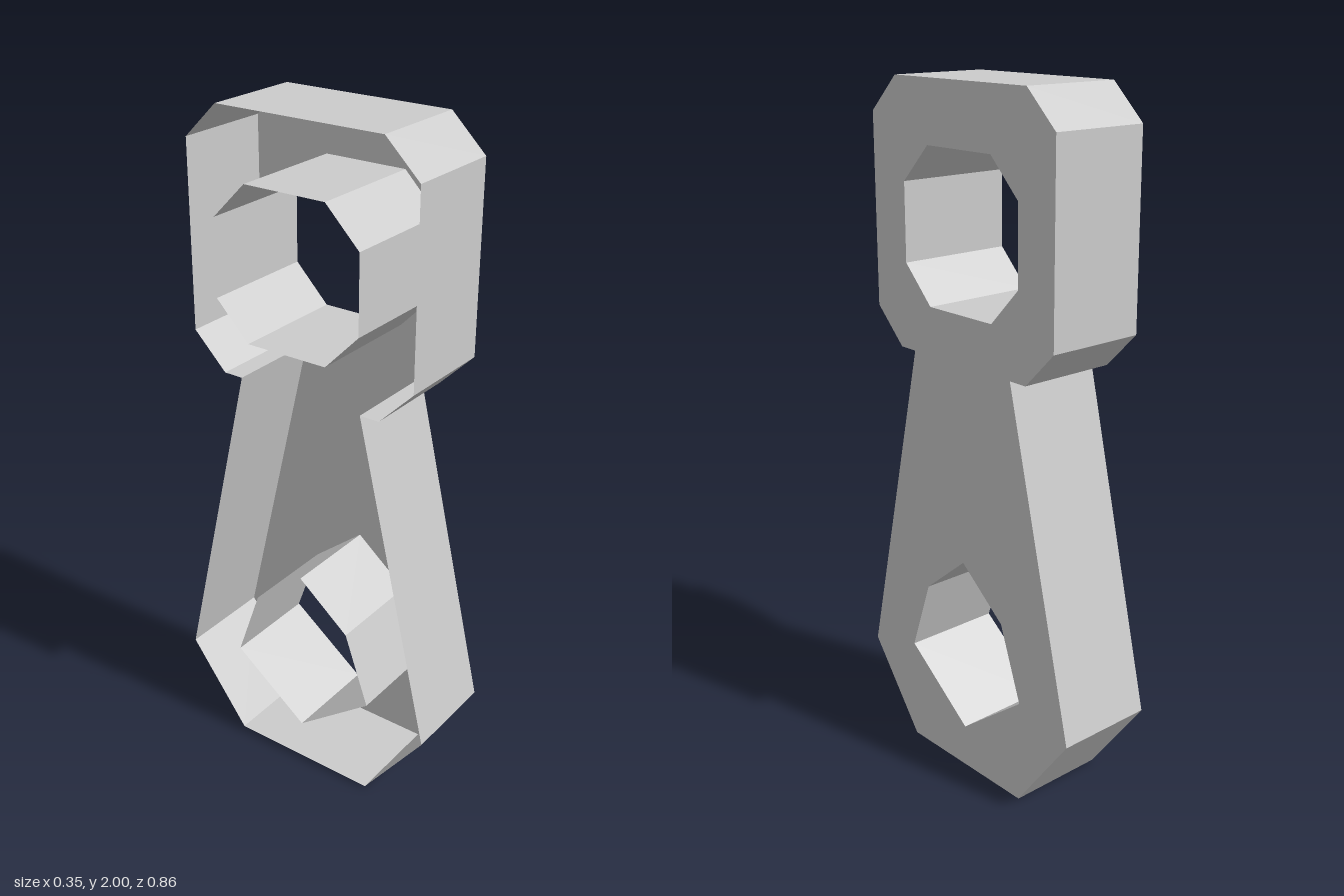
import * as THREE from 'three';

// Side faces between two x positions, following a closed outline
function wallBand(points, xOpen, xClosed) {
  const pos = [];
  points.forEach((a, i) => {
    const b = points[(i + 1) % points.length];
    pos.push(a.x, a.y, xOpen, b.x, b.y, xOpen, b.x, b.y, xClosed);
    pos.push(a.x, a.y, xOpen, b.x, b.y, xClosed, a.x, a.y, xClosed);
  });
  const geo = new THREE.BufferGeometry();
  geo.setAttribute('position', new THREE.Float32BufferAttribute(pos, 3));
  geo.computeVertexNormals();
  return geo;
}

// Mirrors the right half of an outline (listed bottom to top) into a closed loop
function mirrored(half) {
  const right = half.map(([x, y]) => new THREE.Vector2(x, y));
  const left = half.filter(([x]) => x > 0).reverse().map(([x, y]) => new THREE.Vector2(-x, y));
  return [...right, ...left];
}

export function createModel() {
  const group = new THREE.Group();
  group.name = 'hollowLink';
  const grey = new THREE.MeshStandardMaterial({ color: 0xcccccc, flatShading: true, side: THREE.DoubleSide });
  grey.name = 'light grey';

  const add = (name, geo) => {
    geo.rotateY(Math.PI / 2); // outline plane faces +x
    const mesh = new THREE.Mesh(geo, grey);
    mesh.name = name;
    group.add(mesh);
  };

  const outline = mirrored([
    [0.238, 0], [0.432, 0.26], [0.2, 1.252], [0.26, 1.252],
    [0.364, 1.356], [0.364, 1.9], [0.26, 2],
  ]);
  const upperHole = mirrored([[0.127, 1.391], [0.231, 1.498], [0.231, 1.722], [0.127, 1.827]]);
  const lowerHole = mirrored([[0, 0.13], [0.24, 0.313], [0.163, 0.533], [0, 0.666]]);

  const plateX = 0.177;

  // Closed face with both holes
  const shape = new THREE.Shape(outline);
  shape.holes.push(new THREE.Path(upperHole), new THREE.Path(lowerHole));
  const plate = new THREE.ShapeGeometry(shape);
  plate.translate(0, 0, plateX);
  add('facePlate', plate);

  // Outer rim, open on the -x side
  add('outerWall', wallBand(outline, -0.122, plateX));

  // Sleeves running through the hollow body
  add('upperSleeve', wallBand([...upperHole].reverse(), -0.177, plateX));
  add('lowerSleeve', wallBand([...lowerHole].reverse(), -0.125, plateX));

  return group;
}
